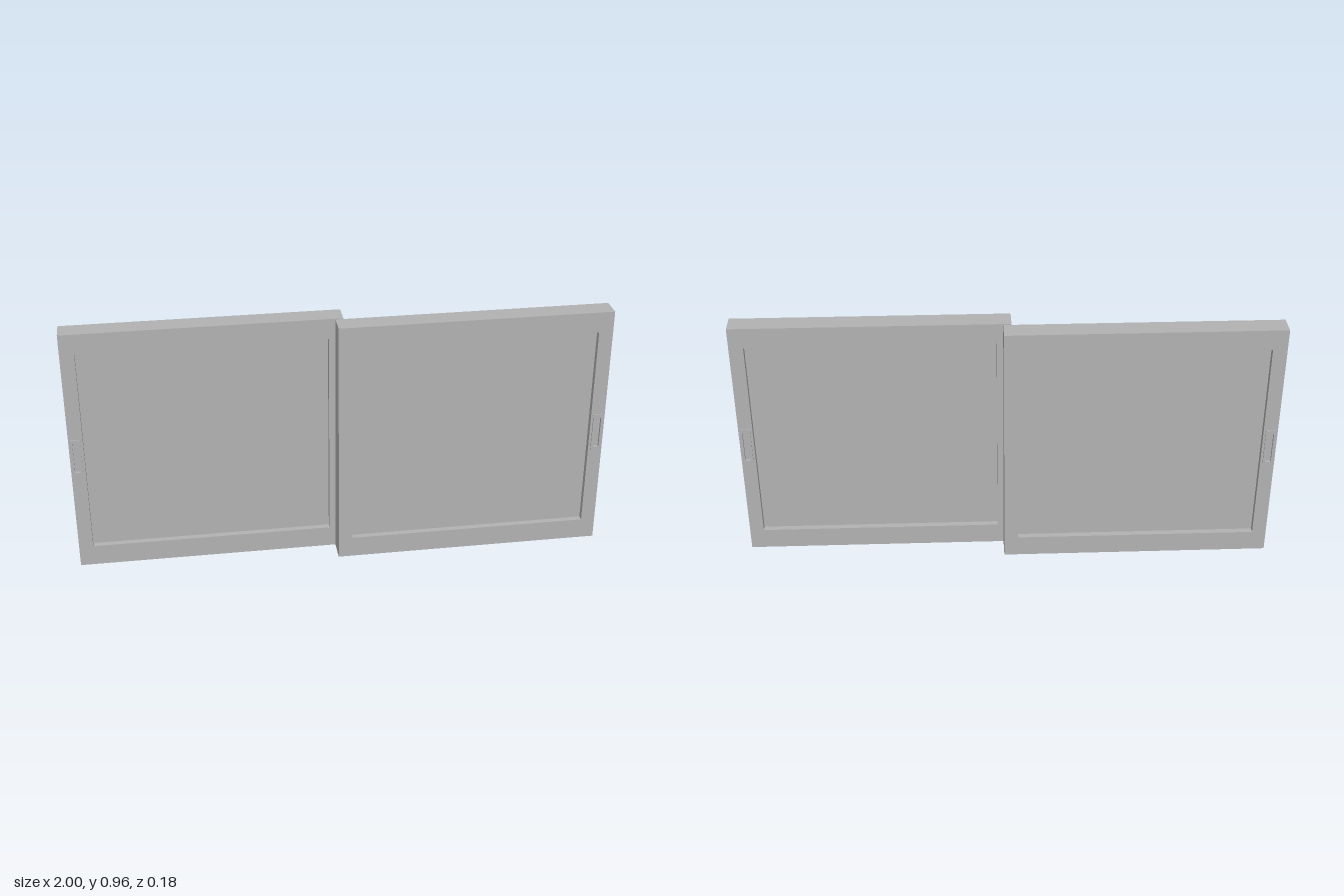
import * as THREE from 'three';

const H = 0.965, DEPTH = 0.081, MID_Z = 0.044;

// Trace a rectangle on a Shape or Path
function rect(path, x0, y0, x1, y1) {
  path.moveTo(x0, y0);
  path.lineTo(x1, y0);
  path.lineTo(x1, y1);
  path.lineTo(x0, y1);
  path.closePath();
  return path;
}

// Rectangular plate with rectangular holes, centred on z = 0
function plate(outer, holes, depth) {
  const shape = rect(new THREE.Shape(), ...outer);
  for (const h of holes) shape.holes.push(rect(new THREE.Path(), ...h));
  const geo = new THREE.ExtrudeGeometry(shape, { depth, bevelEnabled: false });
  geo.translate(0, 0, -depth / 2);
  return geo;
}

function slidingPanel(material) {
  const panel = new THREE.Group();
  const add = (name, geo) => {
    const mesh = new THREE.Mesh(geo, material);
    mesh.name = name;
    panel.add(mesh);
  };
  const pane = [0.038, 0.081, 0.947, 0.886];
  const grip = [0.956, 0.395, 0.994, 0.545];
  const pocket = [0.964, 0.409, 0.986, 0.531];

  // Frame with openings for the pane and the finger pull
  add('frame', plate([-0.015, 0, 1, H], [pane, grip], DEPTH));
  // Recessed pane
  add('pane', plate(pane, [], 0.036));
  // Finger pull: a raised rim on both faces around a shallow pocket
  add('pullRim', plate(grip, [pocket], DEPTH + 0.008));
  add('pullPocket', plate(pocket, [], DEPTH - 0.012));

  panel.position.z = MID_Z;
  return panel;
}

export function createModel() {
  const grey = new THREE.MeshStandardMaterial({ color: 0xb2b2b2 });
  grey.name = 'grey';
  const model = new THREE.Group();
  model.name = 'slidingWindow';

  // Two identical panels, the back one turned half way round
  for (const [i, name] of ['frontPanel', 'backPanel'].entries()) {
    const holder = new THREE.Group();
    holder.name = name;
    holder.add(slidingPanel(grey));
    holder.rotation.y = i * Math.PI;
    model.add(holder);
  }
  return model;
}
